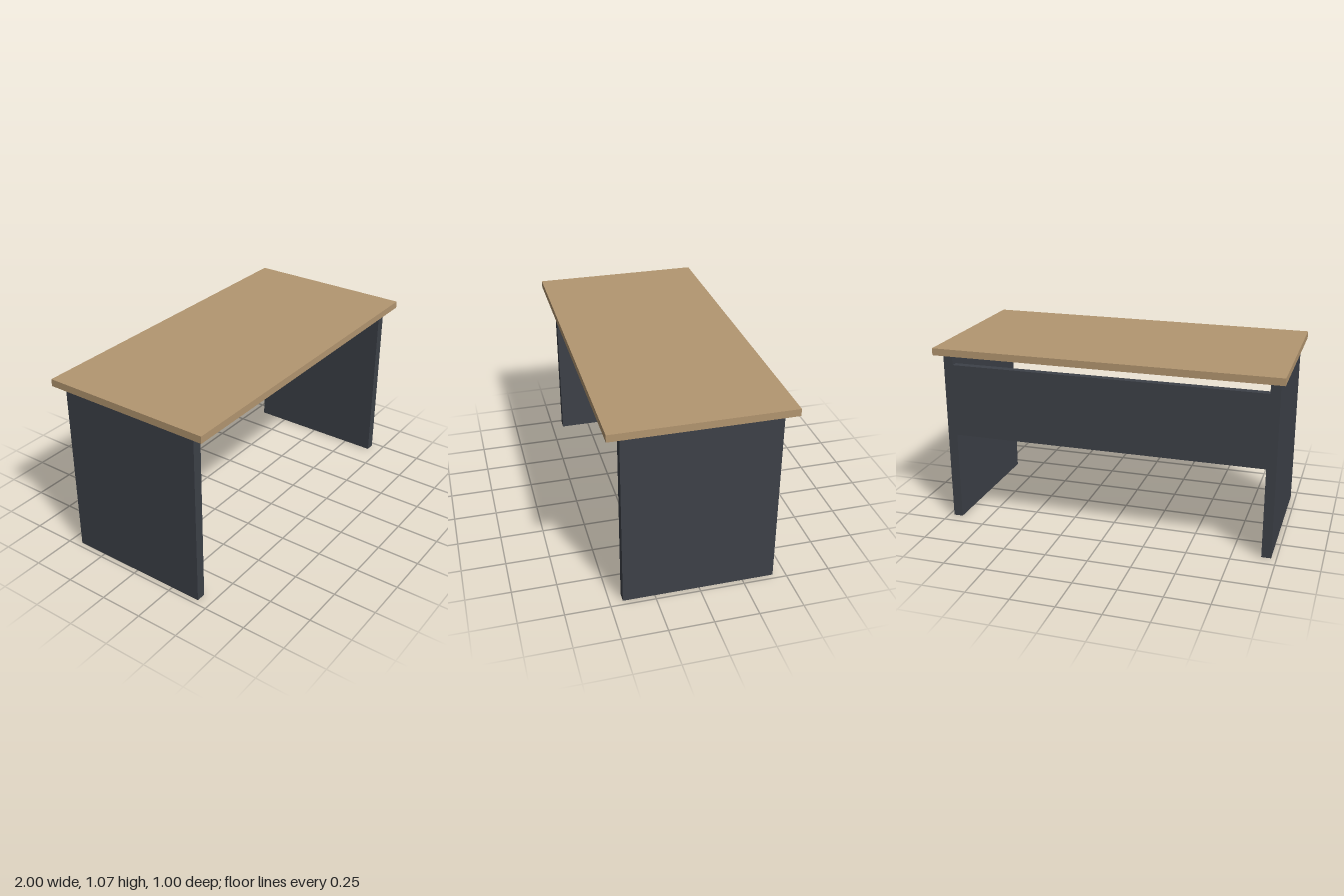
import * as THREE from 'three';

export function createModel() {
  const group = new THREE.Group();
  group.name = 'desk';

  const wood = new THREE.MeshStandardMaterial({ color: 0xb39670 });
  wood.name = 'wood';
  const charcoal = new THREE.MeshStandardMaterial({ color: 0x3d4148 });
  charcoal.name = 'charcoal';

  // Box given by its lower and upper corners
  function slab(name, material, [x0, y0, z0], [x1, y1, z1]) {
    const mesh = new THREE.Mesh(new THREE.BoxGeometry(x1 - x0, y1 - y0, z1 - z0), material);
    mesh.position.set((x0 + x1) / 2, (y0 + y1) / 2, (z0 + z1) / 2);
    mesh.name = name;
    group.add(mesh);
  }

  const underside = 1.03; // underside of the top
  const inner = 0.915, outer = 0.97; // leg faces
  const depth = 0.428; // half depth of the legs

  slab('tabletop', wood, [-1, underside, -0.5], [1, 1.071, 0.5]);

  // Full-depth panel legs
  slab('leftLeg', charcoal, [inner, 0, -depth], [outer, underside, depth]);
  slab('rightLeg', charcoal, [-outer, 0, -depth], [-inner, underside, depth]);

  // Modesty panel flush with the back of the legs
  slab('modestyPanel', charcoal, [-inner, 0.53, -depth], [inner, 0.958, -depth + 0.043]);

  // Support beam under the middle of the top
  slab('supportBeam', charcoal, [-inner, 0.973, -0.028], [inner, underside, 0.028]);

  return group;
}
